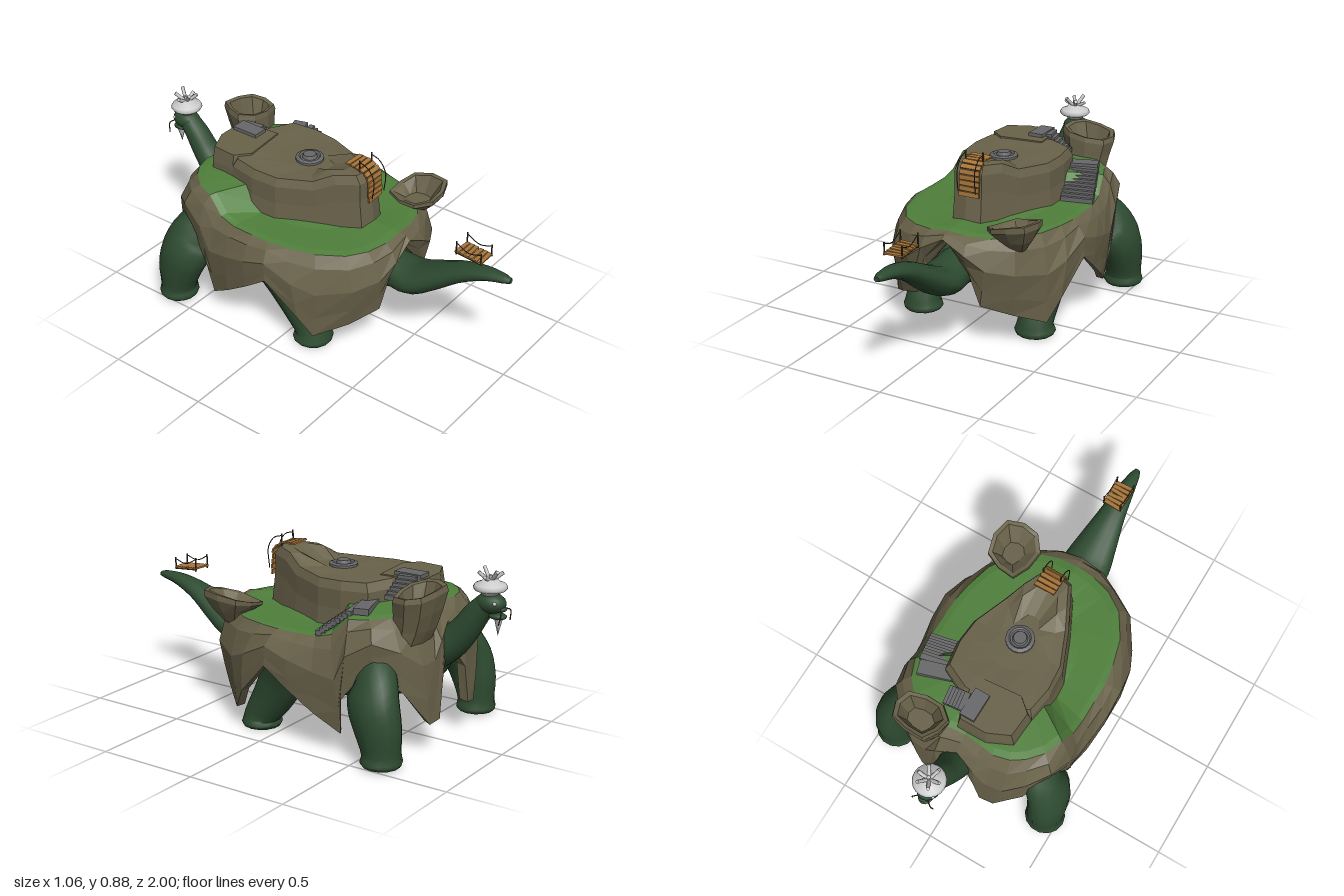
import * as THREE from 'three';

const V = (x, y, z) => new THREE.Vector3(x, y, z);
const mat = (color, flat = true) =>
  new THREE.MeshStandardMaterial({ color, flatShading: flat, side: THREE.DoubleSide });
const rock = mat(0x69624a), grass = mat(0x4f7f3b), skin = mat(0x2d4a30, false);
const stone = mat(0x68686a), wood = mat(0xa8763a), rope = mat(0x4a3b22), pale = mat(0xcccccc, false);

function add(parent, name, geo, material, x = 0, y = 0, z = 0) {
  const m = new THREE.Mesh(geo, material);
  m.name = name;
  m.position.set(x, y, z);
  parent.add(m);
  return m;
}

// Skin a stack of closed rings (counter-clockwise around the stacking direction)
function loft(rings, capStart = true, capEnd = true) {
  const n = rings[0].length, pos = [], idx = [];
  rings.forEach(r => r.forEach(p => pos.push(p.x, p.y, p.z)));
  for (let i = 0; i < rings.length - 1; i++) for (let j = 0; j < n; j++) {
    const k = (j + 1) % n, a = i * n + j, b = i * n + k;
    idx.push(a, b, b + n, a, b + n, a + n);
  }
  const cap = (ring, flip) => {
    const base = pos.length / 3, c = V(0, 0, 0);
    ring.forEach(p => { pos.push(p.x, p.y, p.z); c.addScaledVector(p, 1 / n); });
    pos.push(c.x, c.y, c.z);
    for (let j = 0; j < n; j++) {
      const a = base + j, b = base + (j + 1) % n;
      idx.push(...(flip ? [b, a, base + n] : [a, b, base + n]));
    }
  };
  if (capStart) cap(rings[0], true);
  if (capEnd) cap(rings[rings.length - 1], false);
  const g = new THREE.BufferGeometry();
  g.setAttribute('position', new THREE.Float32BufferAttribute(pos, 3));
  g.setIndex(idx);
  g.computeVertexNormals();
  return g;
}

// Tapered limb; each key is [x, y, z, half width, half depth]
function limb(keys, steps = 18, sides = 14) {
  const path = new THREE.CatmullRomCurve3(keys.map(k => V(k[0], k[1], k[2])));
  const size = new THREE.CatmullRomCurve3(keys.map((k, i) => V(k[3], k[4] ?? k[3], i)));
  const rings = [];
  for (let i = 0; i <= steps; i++) {
    const t = i / steps, c = path.getPoint(t), s = size.getPoint(t), d = path.getTangent(t);
    const l = Math.hypot(d.y, d.z) || 1;
    rings.push(Array.from({ length: sides }, (_, j) => {
      const a = j / sides * Math.PI * 2, v = Math.sin(a) * s.y;
      return V(c.x + Math.cos(a) * s.x, c.y + v * d.z / l, c.z - v * d.y / l);
    }));
  }
  return loft(rings);
}

// Complete a half outline (from +z round by +x to -z) with its mirror image
const mirror = half => [...half, ...half.slice(1, -1).reverse().map(p => V(-p.x, p.y, p.z))];

// Irregular hollow rock; each row is [centre x, y, centre z, radius x, radius z, tilt]
function hollowRock(rows, sides = 9) {
  return loft(rows.map(([x, y, z, rx, rz, tilt = 0]) => Array.from({ length: sides }, (_, j) => {
    const a = j / sides * Math.PI * 2, w = 1 + 0.09 * Math.sin(j * 2.6);
    return V(x + Math.cos(a) * rx * w, y + tilt * Math.cos(a + 0.6), z - Math.sin(a) * rz * w);
  })));
}

function rod(parent, name, a, b, r, material, sides = 6) {
  const m = add(parent, name, new THREE.CylinderGeometry(r, r, a.distanceTo(b), sides), material);
  m.position.copy(a).lerp(b, 0.5);
  m.quaternion.setFromUnitVectors(V(0, 1, 0), b.clone().sub(a).normalize());
}

function ropeLine(parent, points, r = 0.0025) {
  add(parent, 'rope', new THREE.TubeGeometry(new THREE.CatmullRomCurve3(points), 12, r, 5), rope);
}

function stairs(parent, name, from, to, width, count, yaw) {
  const g = new THREE.Group();
  g.name = name;
  for (let i = 0; i < count; i++) {
    const p = from.clone().lerp(to, i / (count - 1));
    add(g, 'step', new THREE.BoxGeometry(width, 0.022, 0.028), stone, p.x, p.y, p.z).rotation.y = yaw;
  }
  parent.add(g);
}

export function createModel() {
  const model = new THREE.Group();

  // Beast: body, legs, tail, neck
  const body = add(model, 'body', new THREE.SphereGeometry(1, 24, 16), skin, 0, 0.375, -0.17);
  body.scale.set(0.39, 0.21, 0.52);
  const rearLeg = [[.31, .005, .125, .088], [.31, .022, .125, .1, .096], [.31, .06, .122, .086], [.31, .16, .06, .088, .102],
    [.32, .26, 0, .09, .116], [.32, .36, -.06, .11, .12], [.22, .42, -.12, .1]];
  const foreLeg = [[.43, .015, -.625, .088], [.43, .032, -.625, .1, .096], [.43, .07, -.625, .09], [.432, .17, -.61, .094, .112],
    [.42, .28, -.575, .1, .128], [.36, .38, -.525, .11, .13], [.26, .43, -.45, .12]];
  for (const s of [1, -1]) {
    const flip = keys => keys.map(([x, ...rest]) => [x * s, ...rest]);
    add(model, 'rearLeg', limb(flip(rearLeg)), skin);
    add(model, 'foreLeg', limb(flip(foreLeg)), skin);
  }
  add(model, 'tail', limb([[0, .37, .2, .1, .1], [0, .35, .38, .105, .085], [0, .35, .5, .122, .072], [0, .41, .62, .098, .06],
    [0, .485, .75, .067, .045], [0, .53, .88, .044, .03], [0, .54, .97, .026, .02], [0, .54, 1, .014, .012]], 20), skin);
  add(model, 'neck', limb([[0, .4, -.58, .1], [0, .49, -.72, .08], [0, .565, -.79, .068], [0, .645, -.845, .06], [0, .71, -.9, .05]]), skin);

  // Head with pale hat, sticks and beard
  const head = new THREE.Group();
  head.name = 'head';
  const skull = add(head, 'skull', new THREE.SphereGeometry(1, 16, 12), skin, 0, .71, -.915);
  skull.scale.set(.058, .048, .072);
  for (const y of [.69, .655]) {
    const jaw = add(head, 'jaw', new THREE.SphereGeometry(1, 12, 8), skin, 0, y, -.95);
    jaw.scale.set(.035, .016, .045);
  }
  const hat = [[0, .745], [.035, .745], [.045, .76], [.07, .77], [.078, .782], [.07, .796], [.045, .806], [.03, .82], [0, .82]];
  add(head, 'hat', new THREE.LatheGeometry(hat.map(p => new THREE.Vector2(...p)), 20), pale, 0, 0, -.91);
  for (let i = 0; i < 7; i++) {
    const a = i / 6 * Math.PI * 2, r = i < 6 ? 1 : 0;
    rod(head, 'stick', V(0, .805, -.91), V(Math.cos(a) * .055 * r, .838 + .012 * (i % 3), -.91 + Math.sin(a) * .055 * r), .009, pale);
  }
  const beard = add(head, 'beard', new THREE.ConeGeometry(.022, .08, 6), pale, 0, .605, -.955);
  beard.rotation.x = Math.PI;
  for (const s of [1, -1]) {
    add(head, 'eye', new THREE.SphereGeometry(.009, 8, 6), pale, s * .042, .72, -.955);
    ropeLine(head, [V(s * .025, .69, -.975), V(s * .045, .68, -.99), V(s * .055, .63, -.985)], .003);
  }
  model.add(head);

  // Rocky shell: rim x, y, z then ragged hem x, y, z
  const half = [
    [0, .555, .395, 0, .5, .41], [.1, .545, .39, .11, .37, .41], [.2, .54, .36, .17, .22, .41], [.29, .54, .3, .3, .17, .33],
    [.365, .54, .18, .41, .107, .2], [.4, .54, .05, .45, .21, .14], [.415, .54, -.05, .49, .375, -.02], [.415, .54, -.15, .48, .28, -.15],
    [.415, .543, -.26, .46, .19, -.28], [.41, .565, -.34, .42, .107, -.4], [.395, .645, -.42, .45, .28, -.415], [.36, .65, -.51, .41, .44, -.54],
    [.3, .655, -.58, .33, .33, -.67], [.24, .655, -.62, .2, .155, -.735], [.16, .655, -.64, .13, .165, -.745], [.09, .655, -.63, .1, .35, -.74], [0, .65, -.62, 0, .5, -.7]];
  const rim = mirror(half.map(p => V(p[0], p[1], p[2])));
  const hem = mirror(half.map(p => V(p[3], p[4], p[5])));
  const between = (t, bulge) => rim.map((p, i) => {
    const q = p.clone().lerp(hem[i], t), b = bulge + (i % 2) * .015;
    return V(q.x * b, q.y, (q.z + .17) * b - .17);
  });
  const inner = hem.map(p => V(p.x * .93, p.y + .01, (p.z + .17) * .93 - .17));
  add(model, 'rockShell', loft([inner, hem, between(.75, 1.035), between(.42, 1.095), between(.13, 1.06), rim], false, false), rock);

  // Grass on top of the shell, rising towards the head
  const lawn = (s, lift) => rim.map(p => V(p.x * s, p.y + (p.z < -.3 ? lift : .006), (p.z + .17) * s - .17));
  add(model, 'grass', loft([rim, lawn(.93, .008), lawn(.6, .02)], false, true), grass);

  // Central mesa, highest at the tail end: x, z, top height
  const mesa = [[0, .225, .82], [.07, .21, .82], [.12, .11, .81], [.165, .02, .765], [.235, -.15, .755], [.245, -.28, .76], [.225, -.41, .765], [.1, -.47, .77], [0, -.48, .77]];
  const mesaRing = (s, f) => mirror(mesa.map(([x, z, y]) => V(x * s, f(y), (z + .15) * s - .15)));
  add(model, 'mesa', loft([mesaRing(1.08, () => .5), mesaRing(1.02, y => y - .13), mesaRing(1.02, y => y - .04),
    mesaRing(.95, y => y), mesaRing(.75, y => y), mesaRing(.4, () => .762)]), rock);
  const ledge = [[.08, -.38], [.07, -.52], [.04, -.6], [-.1, -.6], [-.21, -.55], [-.22, -.42], [-.15, -.36]];
  add(model, 'rearLedge', loft([[.55, 1.1], [.7, 1.05], [.775, .96]].map(([y, s]) =>
    ledge.map(([x, z]) => V((x + .07) * s - .07, y, (z + .48) * s - .48)))), rock);
  const dial = [[0, .755], [.068, .755], [.068, .77], [.052, .776], [.045, .77], [.036, .77], [.03, .786], [0, .786]];
  add(model, 'plateauDisc', new THREE.LatheGeometry(dial.map(p => new THREE.Vector2(...p)), 18), stone, 0, .003, -.13);

  // Hollow rock tower beside the neck, and hanging rock bowl by the tail
  add(model, 'rockTower', hollowRock([[.2, .5, -.62, .1, .065], [.2, .6, -.645, .105, .085], [.2, .68, -.66, .118, .098, -.01],
    [.2, .755, -.67, .136, .107, -.02], [.2, .78, -.67, .13, .1, -.022], [.2, .775, -.67, .108, .082, -.02], [.21, .66, -.665, .065, .05]]), rock);
  add(model, 'rockBowl', hollowRock([[.31, .487, .29, .03, .035], [.298, .545, .3, .082, .09], [.292, .59, .305, .12, .134, .025],
    [.292, .613, .305, .118, .136, .032], [.292, .61, .305, .098, .114, .032], [.297, .55, .3, .05, .06]]), rock);

  // Stone stairs, landing and lookout pad
  stairs(model, 'lowerStairs', V(.335, .56, -.255), V(.295, .665, -.39), .16, 9, .2);
  add(model, 'landing', new THREE.BoxGeometry(.19, .03, .07), stone, .26, .675, -.43).rotation.y = .3;
  stairs(model, 'upperStairs', V(.15, .7, -.51), V(.06, .775, -.52), .09, 6, Math.PI / 2 + .15);
  add(model, 'lookoutPad', new THREE.BoxGeometry(.075, .02, .14), stone, .01, .782, -.51);

  // Broken rope bridge hanging over the mesa edge
  const bridge = new THREE.Group();
  bridge.name = 'hangingBridge';
  const sag = new THREE.CatmullRomCurve3([V(.015, .84, .12), V(.015, .832, .19), V(.018, .8, .228), V(.018, .74, .236), V(.018, .685, .24)]);
  for (let i = 0; i < 10; i++) {
    const t = i / 9, d = sag.getTangentAt(t);
    const p = add(bridge, 'plank', new THREE.BoxGeometry(.105, .008, .022), wood);
    p.position.copy(sag.getPointAt(t));
    p.rotation.set(Math.atan2(-d.y, d.z), 0, (i % 3 - 1) * .03);
  }
  for (const x of [-.03, .062]) {
    rod(bridge, 'post', V(x, .82, .185), V(x, .88, .185), .004, rope);
    ropeLine(bridge, [V(x, .87, .185), V(x, .855, .23), V(x, .8, .265), V(x, .7, .258)]);
  }
  model.add(bridge);

  // Far end of the bridge above the tail
  const deck = new THREE.Group();
  deck.name = 'tailDeck';
  for (let i = 0; i < 6; i++)
    add(deck, 'plank', new THREE.BoxGeometry(.095, .008, .02), wood, 0, .615 - i * .002, .74 + i * .024).rotation.y = (i % 3 - 1) * .05;
  for (const x of [-.045, .045]) {
    rod(deck, 'beam', V(x, .61, .73), V(x, .598, .87), .004, rope);
    for (const z of [.735, .865]) rod(deck, 'post', V(x, .6, z), V(x, z < .8 ? .67 : .655, z), .004, rope);
    ropeLine(deck, [V(x, .662, .735), V(x, .632, .8), V(x, .648, .865)]);
  }
  model.add(deck);
  return model;
}
